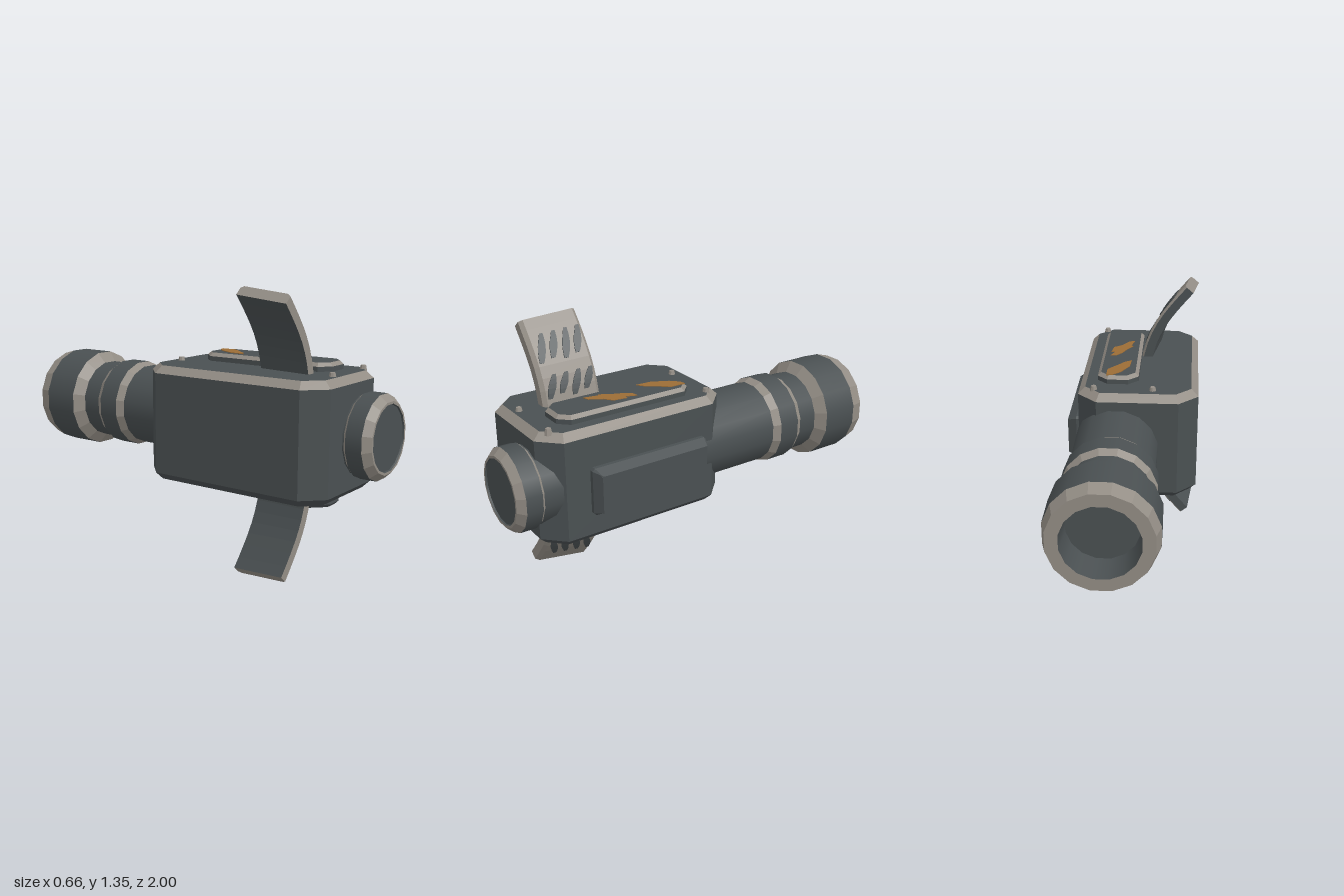
import * as THREE from 'three';

const mats = {
  dark: new THREE.MeshStandardMaterial({ color: 0x4a5052 }),
  light: new THREE.MeshStandardMaterial({ color: 0x938d85 }),
  rust: new THREE.MeshStandardMaterial({ color: 0x9c6d36 }),
};
for (const k in mats) mats[k].name = { dark: 'gunmetal', light: 'worn edge metal', rust: 'orange rust' }[k];

// Skins a stack of cross-sections with flat faces; colour(band, edge) picks the
// material, and the two ends count as bands 'start' and 'end'.
function loft(name, rings, colour, flip = false) {
  const lists = {};
  const tri = (key, a, b, c) => {
    const list = (lists[key] ??= []);
    for (const p of flip ? [a, c, b] : [a, b, c]) list.push(p.x, p.y, p.z);
  };
  const n = rings[0].length;
  for (let j = 0; j < rings.length - 1; j++) {
    for (let i = 0; i < n; i++) {
      const k = (i + 1) % n, A = rings[j], B = rings[j + 1], key = colour(j, i);
      tri(key, A[i], A[k], B[k]);
      tri(key, A[i], B[k], B[i]);
    }
  }
  const last = rings[rings.length - 1];
  for (let i = 1; i < n - 1; i++) {
    tri(colour('start'), rings[0][0], rings[0][i + 1], rings[0][i]);
    tri(colour('end'), last[0], last[i], last[i + 1]);
  }
  const group = new THREE.Group();
  group.name = name;
  for (const key in lists) {
    const g = new THREE.BufferGeometry();
    g.setAttribute('position', new THREE.Float32BufferAttribute(lists[key], 3));
    g.computeVertexNormals();
    const mesh = new THREE.Mesh(g, mats[key]);
    mesh.name = name + (key === 'light' ? 'Edges' : 'Faces');
    group.add(mesh);
  }
  return group;
}

// Block with cut corners, growing along +z; layers are [height, inset]
function block(name, w, d, corner, layers, lightBand = -1) {
  const rings = layers.map(([h, inset]) => {
    const x = w / 2 - inset, y = d / 2 - inset, c = corner - inset * 0.586;
    return [[x, -y + c], [x, y - c], [x - c, y], [-x + c, y], [-x, y - c], [-x, -y + c], [-x + c, -y], [x - c, -y]]
      .map(([px, py]) => new THREE.Vector3(px, py, h));
  });
  return loft(name, rings, (band) => (band === lightBand ? 'light' : 'dark'));
}

// Curved side fin: convex outline, leaning inward toward the front
const finCurve = new THREE.SplineCurve([[-0.02, 0.93], [-0.05, 1.05], [-0.1, 1.16], [-0.17, 1.26], [-0.25, 1.355]]
  .map(([x, y]) => new THREE.Vector2(x, y)));
function finPoint(u, offset, z, mirrored) {
  const p = finCurve.getPoint(u), t = finCurve.getTangent(u);
  const o = offset - 0.04 * (z - 0.41) / 0.28;
  const y = p.y - t.x * o;
  return new THREE.Vector3(p.x + t.y * o, mirrored ? 1.36 - y : y, z);
}
function fin(name, mirrored) {
  const section = [[-0.057, 0.69], [-0.012, 0.69], [0, 0.67], [0, 0.425], [-0.012, 0.41], [-0.057, 0.41]];
  const rings = [];
  for (let j = 0; j <= 8; j++) rings.push(section.map(([o, z]) => finPoint(j / 8, o, z, mirrored)));
  const group = loft(name, rings, (band, edge) => (band !== 'end' && edge >= 4 ? 'dark' : 'light'), mirrored);

  // Dark slanted scratches on the convex face
  for (const [u0, u1] of [[0.17, 0.4], [0.53, 0.82]]) {
    [0.635, 0.575, 0.515, 0.455].forEach((zc, i) => {
      const strips = [];
      const steps = 5, start = u0 + (i % 2) * 0.03;
      for (let s = 0; s <= steps; s++) {
        const f = s / steps, u = start + (u1 - start) * f;
        const half = 0.006 + 0.013 * Math.sin(Math.PI * Math.min(1, f * 0.85 + 0.1));
        const z = zc + 0.018 - 0.04 * f;
        strips.push([[-0.002, z + half], [0.004, z + half], [0.004, z - half], [-0.002, z - half]]
          .map(([o, pz]) => finPoint(u, o, pz, mirrored)));
      }
      group.add(loft('finScratch', strips, () => 'dark', mirrored));
    });
  }
  return group;
}

export function createModel() {
  const model = new THREE.Group();
  const add = (part, x, y, z, rx = 0, ry = 0) => {
    part.position.set(x, y, z);
    part.rotation.set(rx, ry, 0);
    model.add(part);
    return part;
  };

  // Housing with light upper bevel
  add(block('housing', 0.595, 0.995, 0.097,
    [[0.405, 0.035], [0.44, 0], [0.93, 0], [0.965, 0.035]], 2), -0.0325, 0, 0.3675, -Math.PI / 2);
  // Raised panels on top, bottom and left side
  add(block('topPanel', 0.205, 0.71, 0.05,
    [[0.95, 0], [0.988, 0], [1.005, 0.017]], 1), 0.0725, 0, 0.375, -Math.PI / 2);
  add(block('bottomPanel', 0.23, 0.53, 0.075,
    [[-0.42, 0], [-0.352, 0], [-0.335, 0.017]]), 0.01, 0, 0.5, Math.PI / 2);
  add(block('sidePanel', 0.625, 0.235, 0.012,
    [[0.25, 0], [0.285, 0], [0.33, 0.027]]), 0, 0.6625, 0.3325, 0, Math.PI / 2);

  // Barrel and front cap, from the floor of the rear opening to the front disc
  const barrel = new THREE.Group();
  barrel.name = 'barrel';
  const profile = [
    [0, -0.86], [0.165, -0.86, 'dark'], [0.178, -1, 'dark'], [0.237, -1, 'light'], [0.257, -0.93, 'light'],
    [0.257, -0.74, 'dark'], [0.205, -0.7, 'light'], [0.205, -0.6, 'dark'], [0.226, -0.565, 'light'],
    [0.226, -0.455, 'dark'], [0.208, -0.415, 'light'], [0.208, 0.1, 'dark'], null,
    [0.19, 0.7], [0.19, 0.872, 'dark'], [0.202, 0.885, 'light'], [0.202, 0.965, 'dark'],
    [0.17, 1, 'light'], [0.158, 1, 'light'], [0.155, 0.992, 'dark'], [0, 0.992, 'dark'],
  ];
  for (let i = 1; i < profile.length; i++) {
    const a = profile[i - 1], b = profile[i];
    if (!a || !b) continue;
    let g = new THREE.LatheGeometry([new THREE.Vector2(a[0], a[1]), new THREE.Vector2(b[0], b[1])], 16, Math.PI / 16);
    if (b[2] === 'light') {
      g = g.toNonIndexed();
      g.computeVertexNormals();
    }
    g.rotateX(Math.PI / 2);
    const mesh = new THREE.Mesh(g, mats[b[2]]);
    mesh.name = b[2] === 'light' ? 'barrelBevel' : 'barrelBand';
    barrel.add(mesh);
  }
  add(barrel, 0.07, 0.68, 0);

  // Rivets on the top corners
  for (const x of [-0.105, 0.185]) {
    for (const z of [-0.05, 0.8]) {
      const rivet = new THREE.Mesh(new THREE.CylinderGeometry(0.013, 0.02, 0.03, 8).toNonIndexed(), mats.light);
      rivet.geometry.computeVertexNormals();
      rivet.name = 'rivet';
      add(rivet, x, 0.968, z);
    }
  }

  // Rust patches on the top panel, outlined as [x, z]
  const patches = [
    [[0.06, 0.08], [0.1, 0.04], [0.13, 0.035], [0.13, 0.11], [0.1, 0.15], [0.075, 0.18], [0.05, 0.215], [0.015, 0.24], [0.02, 0.16], [0.04, 0.12]],
    [[0.015, 0.53], [0.03, 0.46], [0.02, 0.45], [0.05, 0.4], [0.07, 0.35], [0.1, 0.31], [0.13, 0.305], [0.11, 0.36], [0.13, 0.36], [0.12, 0.43], [0.08, 0.46], [0.045, 0.52]],
  ];
  for (const outline of patches) {
    const shape = new THREE.Shape(outline.map(([x, z]) => new THREE.Vector2(x, -z)));
    const patch = new THREE.Mesh(new THREE.ExtrudeGeometry(shape, { depth: 0.004, bevelEnabled: false }), mats.rust);
    patch.name = 'rustPatch';
    add(patch, 0, 1.004, 0, -Math.PI / 2);
  }

  model.add(fin('upperFin', false), fin('lowerFin', true));
  return model;
}
